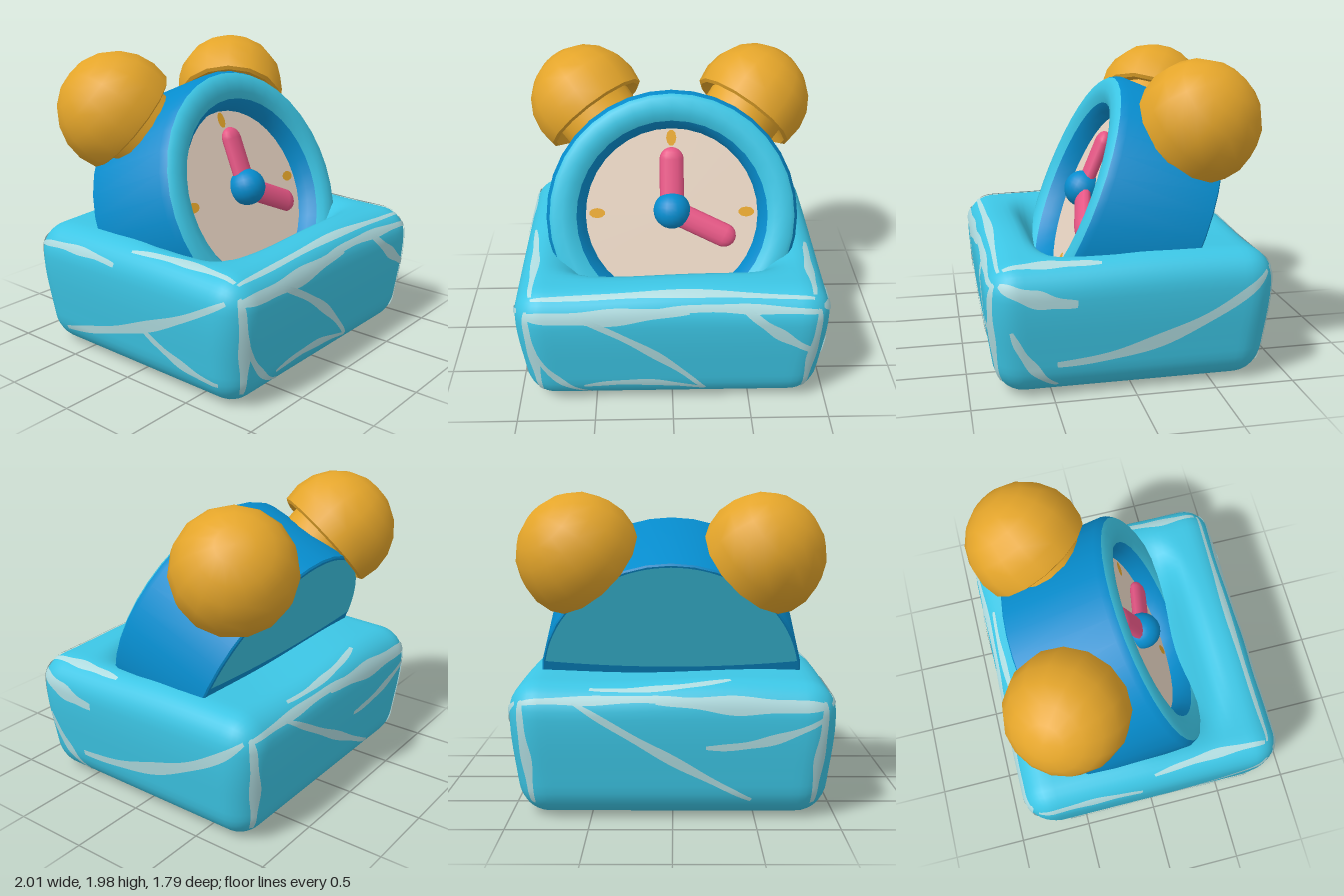
import * as THREE from 'three';
import { toCreasedNormals } from 'three/addons/utils/BufferGeometryUtils.js';

const paint = (name, color, side = THREE.FrontSide) => {
  const m = new THREE.MeshStandardMaterial({ color, side });
  m.name = name;
  return m;
};

// Half sizes and corner radius of the stone block
const HALF = new THREE.Vector3(1, 0.42, 0.89), R = 0.19;
const smooth = THREE.MathUtils.smoothstep;

// Maps a point on the plain box to the rounded, tapered block with a hollow before the dial
function blockPoint(p, lift = 0) {
  const inner = HALF.clone().subScalar(R);
  const c = p.clone().clamp(inner.clone().negate(), inner);
  const n = p.clone().sub(c).normalize();
  const q = c.addScaledVector(n, R + lift);
  const y = q.y + HALF.y;
  const taper = 0.945 + 0.055 * smooth(y, 0, 0.62);
  q.x *= taper;
  q.z *= taper;
  const top = smooth(y, 0.5, 0.84);
  const dish = 0.45 * Math.exp(-((q.x / 0.58) ** 4) - ((q.z - 0.25) / 0.25) ** 4);
  const wobble = 0.012 * Math.sin(4 * q.x + 3 * q.z + 2);
  q.y = y - top * (dish + wobble);
  return q;
}

function blockGeometry() {
  const g = new THREE.BoxGeometry(HALF.x * 2, HALF.y * 2, HALF.z * 2, 40, 16, 40);
  const pos = g.attributes.position, v = new THREE.Vector3();
  for (let i = 0; i < pos.count; i++) {
    const q = blockPoint(v.fromBufferAttribute(pos, i));
    pos.setXYZ(i, q.x, q.y, q.z);
  }
  return toCreasedNormals(g, 0.9);
}

// Places a flat (u, v) point on one face of the plain box
const FACES = {
  front: (u, v) => new THREE.Vector3(u, v - HALF.y, HALF.z),
  back: (u, v) => new THREE.Vector3(u, v - HALF.y, -HALF.z),
  right: (u, v) => new THREE.Vector3(-HALF.x, v - HALF.y, u),
  left: (u, v) => new THREE.Vector3(HALF.x, v - HALF.y, u),
  top: (u, v) => new THREE.Vector3(u, HALF.y, v),
  bottom: (u, v) => new THREE.Vector3(u, -HALF.y, v),
};

// Thin bowed ribbon with tapered ends that follows the block surface
function veinGeometry(face, u0, v0, u1, v1, bow, width) {
  const a = new THREE.Vector2(u0, v0), b = new THREE.Vector2(u1, v1);
  const side = new THREE.Vector2(v0 - v1, u1 - u0).normalize();
  const curve = new THREE.QuadraticBezierCurve(a, a.clone().lerp(b, 0.5).addScaledVector(side, bow), b);
  const N = 40, M = 4, verts = [], index = [];
  for (let i = 0; i <= N; i++) {
    const p = curve.getPoint(i / N), t = curve.getTangent(i / N);
    const w = width * (0.45 + 0.7 * Math.sin(Math.PI * i / N)) * (1 + 0.15 * Math.sin(i * 0.35));
    for (let j = 0; j <= M; j++) {
      const s = (j / M - 0.5) * w;
      const q = FACES[face](p.x - t.y * s, p.y + t.x * s).clamp(HALF.clone().negate(), HALF);
      verts.push(...blockPoint(q, 0.007).toArray());
      if (i < N && j < M) {
        const k = i * (M + 1) + j, l = k + M + 1;
        index.push(k, l, k + 1, l, l + 1, k + 1);
      }
    }
  }
  const g = new THREE.BufferGeometry();
  g.setAttribute('position', new THREE.Float32BufferAttribute(verts, 3));
  g.setIndex(index);
  g.computeVertexNormals();
  return g;
}

// Free veins: face, start, end, bow, width
const VEINS = [
  ['front', -0.6, 0.72, 0.22, 0.11, 0.1, 0.05],
  ['front', -0.6, 0.15, 0.22, 0.11, 0.1, 0.045],
  ['front', -0.9, 0.5, -0.55, 0.06, -0.15, 0.04],
  ['front', 0.42, 0.79, 0.9, 0.43, -0.04, 0.065],
  ['left', 0.86, 0.78, 0.36, 0.61, 0.07, 0.09],
  ['left', -0.86, 0.74, 0.5, 0.22, -0.26, 0.07],
  ['left', 0.76, 0.45, 0.5, 0.05, 0.08, 0.055],
  ['back', 0.6, 0.75, -0.5, 0.12, 0.05, 0.05],
  ['back', -0.2, 0.46, -0.92, 0.64, 0.1, 0.05],
  ['right', -0.84, 0.73, -0.1, 0.72, 0.06, 0.06],
  ['right', -0.65, 0.14, 0.8, 0.72, -0.15, 0.06],
  ['right', 0.1, 0.38, 0.75, 0.16, -0.1, 0.05],
  ['top', -0.35, -0.76, 0.5, -0.83, -0.1, 0.06],
  ['top', 0.92, 0.2, 0.9, 0.8, 0.03, 0.065],
  ['top', -0.95, 0, -0.9, 0.8, -0.06, 0.06],
  ['bottom', -0.5, -0.5, 0.1, 0.1, 0.06, 0.04],
];

// Turned shape from [radius, height] points, axis along +y
const turned = (pts, segs, crease = 0.6) =>
  toCreasedNormals(new THREE.LatheGeometry(pts.map(([r, h]) => new THREE.Vector2(r, h)), segs), crease);

export function createModel() {
  const teal = paint('teal', 0x3cc5e4), blue = paint('blue', 0x068ccd);
  const gold = paint('gold', 0xe4a52a), cream = paint('cream', 0xe6d3c1);
  const pink = paint('pink', 0xe65685), pale = paint('pale vein', 0xaedade, THREE.DoubleSide);

  const model = new THREE.Group();
  model.name = 'alarmClockInBlock';
  const add = (parent, name, geo, mat, x = 0, y = 0, z = 0) => {
    const mesh = new THREE.Mesh(geo, mat);
    mesh.name = name;
    mesh.position.set(x, y, z);
    parent.add(mesh);
    return mesh;
  };

  // Block with pale veins
  add(model, 'block', blockGeometry(), teal);
  const veins = new THREE.Group();
  veins.name = 'veins';
  model.add(veins);
  const vein = (face, ...shape) => add(veins, face + 'Vein', veinGeometry(face, ...shape), pale);
  VEINS.forEach((v) => vein(...v));

  // Worn edges: upper bands and upright corners
  for (const face of ['front', 'back']) {
    vein(face, -0.97, 0.73, 0.1, 0.75, -0.04, 0.1);
    vein(face, -0.1, 0.75, 0.97, 0.74, 0.06, 0.07);
    for (const s of [1, -1]) vein(face, s * 0.95, 0.77, s * 0.92, 0.07, s * -0.04, 0.08);
  }
  vein('top', -0.9, 0.83, 0.9, 0.84, -0.04, 0.06);

  // Clock leaning back; local +z is the dial direction
  const clock = new THREE.Group();
  clock.name = 'clock';
  clock.position.set(0.01, 1.06, 0.26);
  clock.rotation.x = -0.396;
  model.add(clock);
  const ringPart = (name, pts, mat) => add(clock, name, turned(pts, 36).rotateX(Math.PI / 2), mat);
  ringPart('casing', [[0, -0.73], [0.82, -0.73], [0.83, -0.72], [0.83, -0.06], [0.805, -0.015]], blue);
  ringPart('frontRing', [[0.805, -0.015], [0.78, 0.005], [0.72, 0.012], [0.67, 0], [0.63, -0.03]], teal);
  ringPart('innerWall', [[0.63, -0.03], [0.59, -0.08], [0.575, -0.16]], blue);
  add(clock, 'dial', new THREE.CircleGeometry(0.59, 36), cream, 0, 0, -0.15);

  // Back plate: upper part of a disc with a shallow curved lower edge
  const plate = new THREE.Shape();
  plate.absarc(0, 0, 0.81, 0.18, Math.PI - 0.18);
  plate.quadraticCurveTo(0, 0.06, 0.81 * Math.cos(0.18), 0.81 * Math.sin(0.18));
  add(clock, 'backPlate', new THREE.ShapeGeometry(plate, 24).rotateY(Math.PI), teal, 0, 0, -0.736);

  // Hour marks
  for (let i = 0; i < 4; i++) {
    const a = i * Math.PI / 2;
    const mark = add(clock, 'hourMark', new THREE.CircleGeometry(1, 10), gold,
      Math.sin(a) * 0.5, Math.cos(a) * 0.5 + 0.015, -0.144);
    mark.scale.set(0.034, 0.054, 1);
    mark.rotation.z = -a;
  }

  // Hands and centre knob
  const hand = (name, length, angle) => {
    const g = new THREE.CapsuleGeometry(0.08, length, 5, 12).translate(0, length / 2, 0).scale(1, 1, 0.6);
    add(clock, name, g, pink, 0, 0.03, -0.105).rotation.z = -angle;
  };
  hand('minuteHand', 0.345, 0);
  hand('hourHand', 0.385, 2.02);
  add(clock, 'knob', new THREE.SphereGeometry(0.123, 20, 14), blue, 0, 0.035, -0.1);

  // Bells: a deep dome with a lip over a narrower stem, tipped slightly backwards
  const bellProfile = [[0.27, -0.25], [0.28, -0.08], [0.35, -0.12]];
  for (let i = 0; i <= 6; i++) {
    const a = -0.28 + (i / 6) * (Math.PI / 2 + 0.28);
    bellProfile.push([0.39 * Math.cos(a), 0.39 * Math.sin(a)]);
  }
  for (const s of [1, -1]) {
    const a = s * 0.645;
    const bell = add(clock, s > 0 ? 'leftBell' : 'rightBell', turned(bellProfile, 15, 0.75), gold,
      0.955 * Math.sin(a), 0.955 * Math.cos(a), -0.476);
    bell.rotation.set(-0.18, 0, -a, 'ZXY');
  }
  return model;
}
